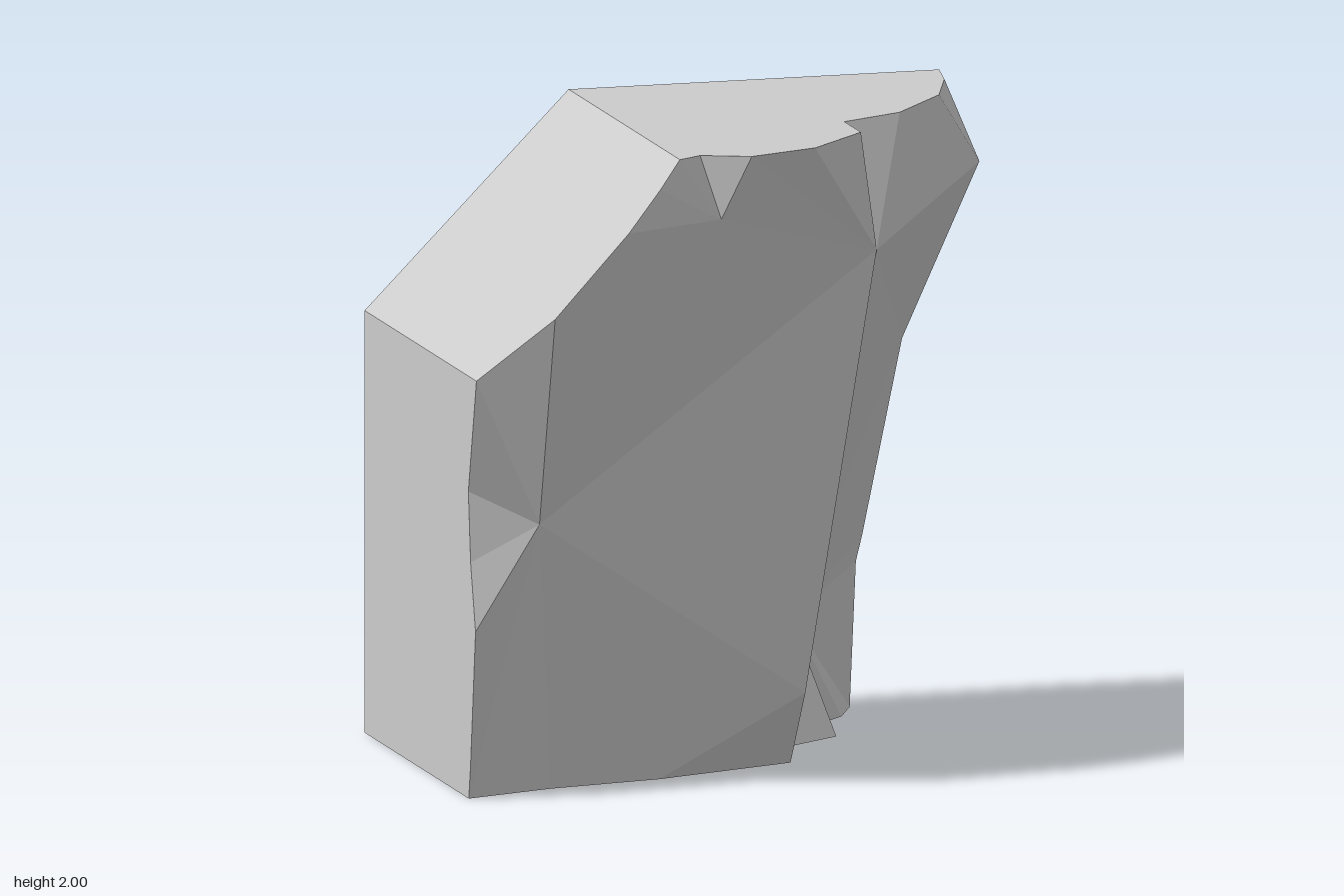
import * as THREE from 'three';

const v = (x, y, z) => new THREE.Vector3(x, y, z);

// Broken rim where the rough face meets the flat cuts, clockwise from lower left
const rim = [
  // left cut
  v(-0.96, 0, 0.46), v(-0.96, 0.11, 0.48), v(-0.96, 0.54, 0.535),
  v(-0.96, 0.75, 0.48), v(-0.96, 0.97, 0.455), v(-0.96, 1.335, 0.545),
  // sloped cut
  v(-0.75, 1.547, 0.7), v(-0.5, 1.798, 0.66), v(-0.38, 1.92, 0.6), v(-0.3, 2, 0.54),
  // top
  v(-0.22, 2, 0.49), v(-0.07, 2, 0.55), v(0.16, 2, 0.465), v(0.37, 2, 0.25),
  v(0.37, 2, 0.065), v(0.58, 2, -0.04), v(0.78, 2, -0.29), v(0.87, 2, -0.54), v(0.9, 2, -0.7),
  // back
  v(0.96, 1.86, -0.7), v(0.9, 1.64, -0.7), v(0.78, 1.37, -0.7), v(0.7, 1.19, -0.7),
  v(0.65, 0.54, -0.7), v(0.63, 0.46, -0.7), v(0.61, 0, -0.7),
  // bottom
  v(0.54, 0, -0.55), v(0.43, 0, -0.44), v(0.43, 0, -0.23), v(0.23, 0, -0.1),
  v(0.17, 0, 0.155), v(-0.3, 0, 0.31), v(-0.67, 0, 0.37),
];
const R = (i) => rim[i % rim.length];

// Peaks and hollows of the rough face
const A = v(-0.74, 0.86, 0.49), B = v(0.43, 1.62, 0.22), C = v(0.17, 0.25, 0.32);
const D = v(0.32, 0.36, -0.35), E = v(0.96, 1.75, -0.46), F = v(0.73, 1.19, -0.53);
const Q = v(-0.16, 1.8, 0.52);

// Back corners of the flat cuts
const low = v(-0.96, 0, -0.7), mid = v(-0.96, 1.335, -0.7), high = v(-0.3, 2, -0.7);

function facetMesh(name, points) {
  const geometry = new THREE.BufferGeometry().setFromPoints(points);
  geometry.computeVertexNormals();
  const material = new THREE.MeshStandardMaterial({ color: 0xcccccc, flatShading: true });
  const mesh = new THREE.Mesh(geometry, material);
  mesh.name = name;
  return mesh;
}

// Rough face: fans from each peak to a span of the rim, joined by bridging facets
function roughFace() {
  const points = [];
  const fans = [
    [A, 0, 6], [A, 31, 33], [B, 6, 7], [Q, 7, 11], [B, 11, 15],
    [E, 15, 20], [F, 20, 23], [D, 23, 29], [C, 29, 31],
  ];
  for (const [hub, from, to] of fans) {
    for (let i = from; i < to; i++) points.push(hub, R(i + 1), R(i));
  }
  points.push(
    A, B, R(6), R(7), B, Q, Q, B, R(11), B, E, R(15), B, F, E, F, R(20), E,
    B, D, F, D, R(23), F, C, D, B, C, R(29), D, A, C, B, A, R(31), C,
  );
  return facetMesh('roughFace', points);
}

// Flat cut: a span of the rim closed by back corners, u and n are its axis and normal
function flatCut(name, from, to, corners, u, n) {
  const outline = [];
  for (let i = from; i <= to; i++) outline.push(R(i));
  outline.push(...corners);
  const w = n.clone().cross(u);
  const flat = outline.map((p) => new THREE.Vector2(p.dot(u), p.dot(w)));
  const points = [];
  for (const [a, b, c] of THREE.ShapeUtils.triangulateShape(flat, [])) {
    const ab = flat[b].clone().sub(flat[a]);
    const ac = flat[c].clone().sub(flat[a]);
    const order = ab.cross(ac) > 0 ? [a, b, c] : [a, c, b];
    points.push(...order.map((i) => outline[i]));
  }
  return facetMesh(name, points);
}

export function createModel() {
  const rock = new THREE.Group();
  rock.name = 'rockBlock';
  const x = v(1, 0, 0), z = v(0, 0, 1);
  rock.add(
    roughFace(),
    flatCut('leftCut', 0, 5, [mid, low], z, v(-1, 0, 0)),
    flatCut('slopedCut', 5, 9, [high, mid], z, v(-1, 1, 0).normalize()),
    flatCut('topCut', 9, 18, [high], x, v(0, 1, 0)),
    flatCut('backCut', 18, 25, [low, mid, high], x, v(0, 0, -1)),
    flatCut('bottomCut', 25, 33, [low], x, v(0, -1, 0)),
  );
  return rock;
}
